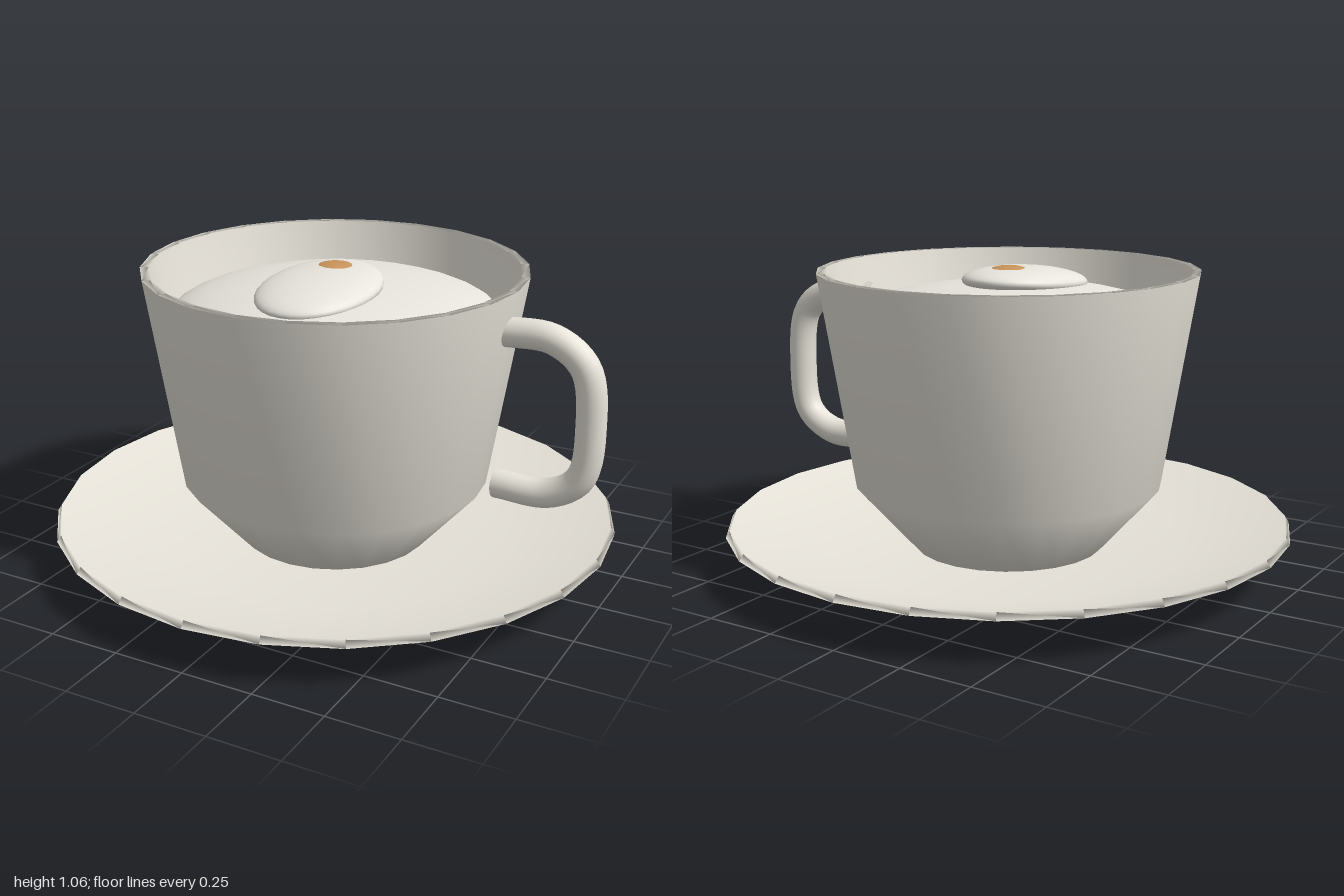
import * as THREE from 'three';

const SIDES = 24;

export function createModel() {
  const group = new THREE.Group();
  const porcelain = new THREE.MeshStandardMaterial({ color: 0xf0ece2 });
  porcelain.name = 'porcelain';
  const foam = new THREE.MeshStandardMaterial({ color: 0xefece4 });
  foam.name = 'milk foam';
  const coffee = new THREE.MeshStandardMaterial({ color: 0xc8935a });
  coffee.name = 'coffee';

  function add(name, geometry, material) {
    const mesh = new THREE.Mesh(geometry, material);
    mesh.name = name;
    group.add(mesh);
    return mesh;
  }
  const lathe = (points) =>
    new THREE.LatheGeometry(points.map(([r, y]) => new THREE.Vector2(r, y)), SIDES);

  // Saucer: foot, flared underside, thin rim and dished top
  add('saucerFoot', lathe([[0, 0], [0.6, 0]]), porcelain);
  add('saucer', lathe([
    [0.6, 0], [0.62, 0.04], [0.995, 0.152], [0.98, 0.175], [0.62, 0.07], [0, 0.07],
  ]), porcelain);

  // Cup: chamfered base, tapered wall, rim and inside
  add('cup', lathe([
    [0, 0.07], [0.335, 0.07], [0.54, 0.3], [0.66, 1.05], [0.63, 1.05], [0.515, 0.32], [0.32, 0.11], [0, 0.11],
  ]), porcelain);

  // Handle: bent round tube with flat ends
  const path = new THREE.CatmullRomCurve3([
    [0.61, 0.912], [0.79, 0.91], [0.9, 0.83], [0.93, 0.64],
    [0.905, 0.45], [0.8, 0.378], [0.61, 0.375],
  ].map(([x, y]) => new THREE.Vector3(x, y, 0)));
  add('handle', new THREE.TubeGeometry(path, 40, 0.05, 16), porcelain);
  for (const t of [0, 1]) {
    const cap = add(t ? 'handleLowerEnd' : 'handleUpperEnd', new THREE.CircleGeometry(0.05, 16), porcelain);
    const p = path.getPointAt(t);
    cap.position.copy(p);
    cap.lookAt(p.clone().addScaledVector(path.getTangentAt(t), t ? 1 : -1));
  }

  // Coffee surface, showing as a hairline around the foam
  const surface = add('coffeeSurface', new THREE.CircleGeometry(0.585, 32), coffee);
  surface.rotation.x = -Math.PI / 2;
  surface.position.y = 0.87;

  // Foam dome with a leaning oval dollop and a coffee spot on top
  const dome = add('foamDome', new THREE.SphereGeometry(1, 32, 12, 0, Math.PI * 2, 0, Math.PI / 2), foam);
  dome.scale.set(0.575, 0.13, 0.575);
  dome.position.y = 0.87;

  const dollop = add('foamDollop', new THREE.SphereGeometry(1, 32, 20), foam);
  dollop.scale.set(0.2, 0.055, 0.27);
  dollop.rotation.x = 0.08;
  dollop.position.set(0, 0.996, 0.11);

  const spot = add('coffeeSpot', new THREE.SphereGeometry(1, 16, 10), coffee);
  spot.scale.set(0.068, 0.018, 0.068);
  spot.position.set(0, 1.043, 0);

  return group;
}
